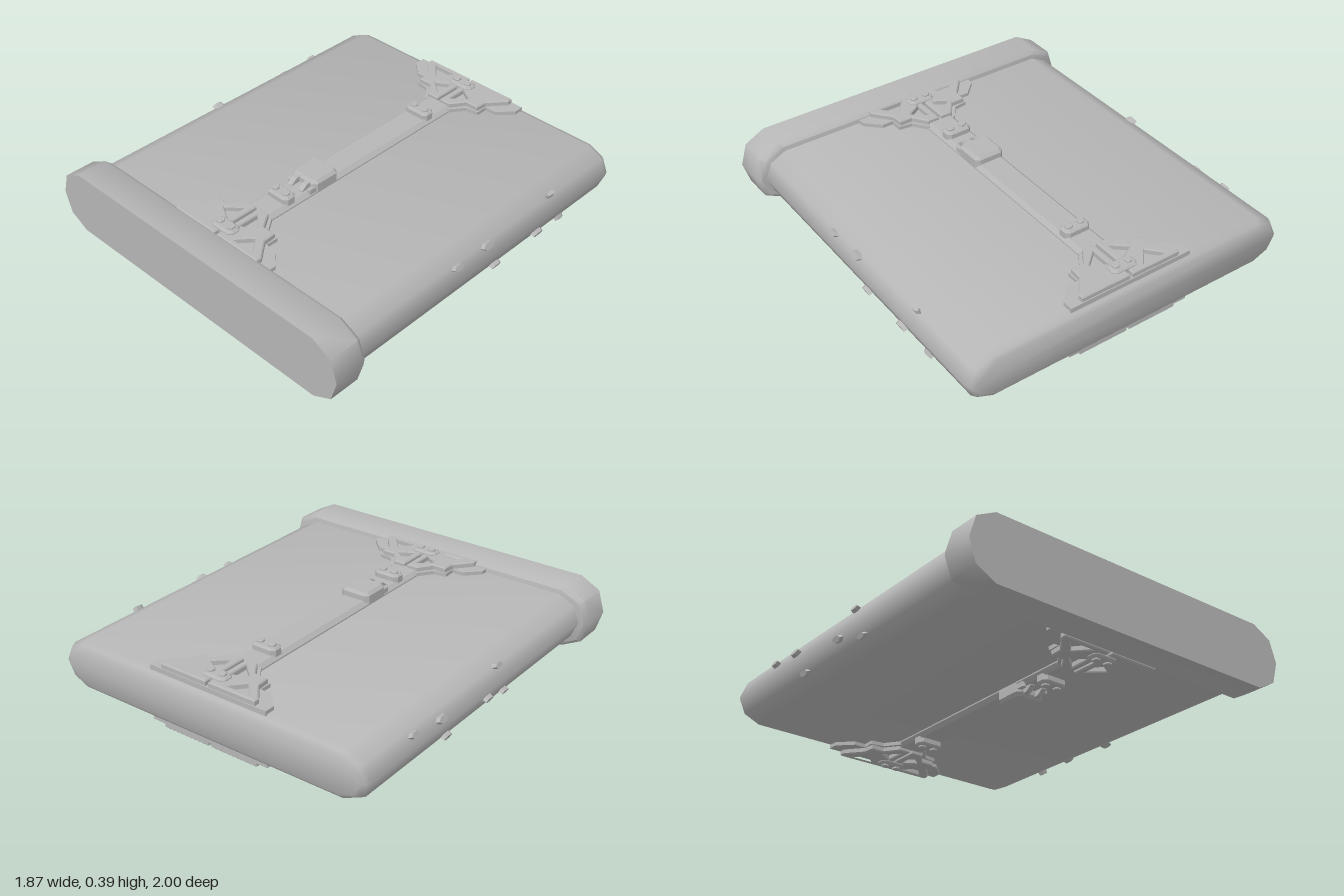
import * as THREE from 'three';
import { toCreasedNormals } from 'three/addons/utils/BufferGeometryUtils.js';

const MID = 0.196; // height of the horizontal mid-plane
const grey = new THREE.MeshStandardMaterial({ color: 0xb6b6b6 });
grey.name = 'grey';

function add(parent, name, geometry) {
  const mesh = new THREE.Mesh(geometry, grey);
  mesh.name = name;
  parent.add(mesh);
  return mesh;
}

// Ten-sided section from a quarter profile, lofted through rings of [z, inset]
function loft(quarter, rings) {
  const [a, b, c] = quarter;
  const half = [[a[0], 0], b, c, [-c[0], c[1]], [-b[0], b[1]]];
  const section = [...half, ...half.map(([x, y]) => [-x, -y])];
  const n = section.length, pos = [], idx = [];
  for (const [z, inset] of rings)
    for (const [x, y] of section)
      pos.push(x * (1 - inset / a[0]), MID + y * (1 - inset / c[1]), z);
  for (let r = 0; r < rings.length - 1; r++)
    for (let j = 0; j < n; j++) {
      const p = r * n + j, q = r * n + (j + 1) % n;
      idx.push(p, p + n, q, q, p + n, q + n);
    }
  const last = (rings.length - 1) * n;
  for (let j = 1; j < n - 1; j++) {
    idx.push(0, j, j + 1);
    idx.push(last, last + j + 1, last + j);
  }
  const g = new THREE.BufferGeometry();
  g.setAttribute('position', new THREE.Float32BufferAttribute(pos, 3));
  g.setIndex(idx);
  return toCreasedNormals(g, 0.9);
}

// Bevelled slab from an outline of [x, z] between two heights
function slab(outline, y0, y1, bevel, holes = []) {
  const toV = ([x, z]) => new THREE.Vector2(x, -z);
  const shape = new THREE.Shape(outline.map(toV));
  for (const h of holes) shape.holes.push(new THREE.Path(h.map(toV)));
  const g = new THREE.ExtrudeGeometry(shape, {
    depth: y1 - y0 - 2 * bevel, bevelEnabled: bevel > 0, bevelThickness: bevel,
    bevelSize: bevel, bevelOffset: -bevel, bevelSegments: 1,
  });
  return g.rotateX(-Math.PI / 2).translate(0, y0 + bevel, 0);
}

// Rectangle outline with clipped corners
function clipped(cx, cz, w, d, c) {
  const x = w / 2, z = d / 2;
  return [[x, z - c], [x - c, z], [c - x, z], [-x, z - c], [-x, c - z], [c - x, -z], [x - c, -z], [x, c - z]]
    .map(([px, pz]) => [cx + px, cz + pz]);
}

// Corner brace, right half at the back end
const BRACE_BASE = [[0, -0.97], [0.34, -0.97], [0.34, -0.915], [0.265, -0.84], [0.205, -0.84],
  [0.205, -0.775], [0.135, -0.765], [0.08, -0.69], [0, -0.69]];
const BRACE_TRUSS = [[0.008, -0.965], [0.275, -0.965], [0.275, -0.935], [0.2, -0.845],
  [0.195, -0.78], [0.125, -0.78], [0.072, -0.705], [0.008, -0.705]];
const BRACE_HOLES = [
  [[0.09, -0.94], [0.22, -0.94], [0.155, -0.865]],
  [[0.04, -0.855], [0.04, -0.745], [0.115, -0.81]],
];

function brace(front) {
  const g = new THREE.Group();
  g.name = front ? 'frontBrace' : 'backBrace';
  for (const s of [1, -1]) {
    const map = ([x, z]) => [s * x, front ? -z - 0.135 : z];
    add(g, 'braceBase', slab(BRACE_BASE.map(map), 0.30, 0.34, 0));
    add(g, 'braceTruss', slab(BRACE_TRUSS.map(map), 0.31, 0.367, 0.006,
      BRACE_HOLES.map((h) => h.map(map))));
  }
  return g;
}

// Small plate with two square studs
function studPlate(z) {
  const g = new THREE.Group();
  g.name = 'studPlate';
  add(g, 'plate', slab(clipped(0, z, 0.14, 0.075, 0.018), 0.325, 0.381, 0.01));
  for (const s of [1, -1])
    add(g, 'stud', slab(clipped(s * 0.035, z, 0.036, 0.036, 0.008), 0.37, 0.392, 0.004));
  return g;
}

// Strap, braces, buckle and stud plates of one face
function strapSet() {
  const g = new THREE.Group();
  const profile = new THREE.Shape([[0.08, 0.31], [0.08, 0.328], [0.06, 0.347], [-0.06, 0.347],
    [-0.08, 0.328], [-0.08, 0.31]].map(([x, y]) => new THREE.Vector2(x, y)));
  add(g, 'strap', new THREE.ExtrudeGeometry(profile, { depth: 1.3, bevelEnabled: false })
    .translate(0, 0, -0.71));
  g.add(brace(false), brace(true));
  for (const z of [-0.895, -0.555, 0.42, 0.765]) g.add(studPlate(z));

  const buckle = new THREE.Group();
  buckle.name = 'buckle';
  add(buckle, 'buckleBody', slab(clipped(0, 0.197, 0.165, 0.165, 0.02), 0.315, 0.388, 0.015));
  const prong = new THREE.Shape([[0.25, 0.335], [0.325, 0.335], [0.332, 0.35], [0.3, 0.375], [0.25, 0.382]]
    .map(([z, y]) => new THREE.Vector2(z, y)));
  for (const s of [1, -1])
    add(buckle, 'prong', new THREE.ExtrudeGeometry(prong, { depth: 0.028, bevelEnabled: false })
      .rotateY(-Math.PI / 2).translate(s * 0.035 + 0.014, 0, 0));
  for (const s of [1, -1])
    add(buckle, 'sideLug', slab(clipped(s * 0.066, 0.285, 0.022, 0.05, 0.006), 0.315, 0.362, 0.005));
  g.add(buckle);
  return g;
}

const BODY = [[0.89, 0], [0.855, 0.084], [0.77, 0.125]];

// Raised chip on a rounded side: side, z, y, length, height
function chip(parent, side, z, y, len, high) {
  const dy = y - MID, h = Math.abs(dy);
  const low = h < BODY[1][1];
  const [p, q] = low ? [BODY[0], BODY[1]] : [BODY[1], BODY[2]];
  const x = THREE.MathUtils.mapLinear(h, p[1], q[1], p[0], q[0]);
  const tilt = Math.atan2(p[0] - q[0], q[1] - p[1]) * Math.sign(dy);
  const geo = new THREE.CylinderGeometry(0.5, 0.62, 0.04, 6).toNonIndexed();
  geo.computeVertexNormals();
  geo.rotateZ(-Math.PI / 2).scale(1, high, len);
  const mesh = add(parent, 'sideChip', geo);
  mesh.position.set(side * x, y, z);
  mesh.rotation.z = side > 0 ? tilt : Math.PI - tilt;
}

export function createModel() {
  const model = new THREE.Group();
  model.name = 'case';

  add(model, 'body', loft(BODY, [[0.85, 0], [-0.955, 0], [-0.985, 0.012], [-1, 0.032]]));
  add(model, 'lid', loft([[0.935, 0], [0.9, 0.113], [0.795, 0.168]],
    [[1, 0], [0.84, 0], [0.815, 0.018]]));

  const top = strapSet();
  top.name = 'topStrapSet';
  const bottom = strapSet();
  bottom.name = 'bottomStrapSet';
  bottom.rotation.z = Math.PI;
  bottom.position.y = 2 * MID;
  model.add(top, bottom);

  const rightChips = [[0.16, 0.265, 0.062, 0.03], [-0.05, 0.268, 0.07, 0.036], [-0.535, 0.283, 0.06, 0.024],
    [-0.125, 0.115, 0.065, 0.028], [-0.435, 0.128, 0.07, 0.032], [-0.63, 0.11, 0.06, 0.022]];
  const leftChips = [[-0.635, 0.255, 0.06, 0.03], [-0.43, 0.235, 0.07, 0.036], [-0.045, 0.165, 0.065, 0.032],
    [0.06, 0.278, 0.06, 0.028], [-0.36, 0.115, 0.065, 0.03], [0.13, 0.12, 0.06, 0.026]];
  for (const c of rightChips) chip(model, 1, ...c);
  for (const c of leftChips) chip(model, -1, ...c);
  return model;
}
